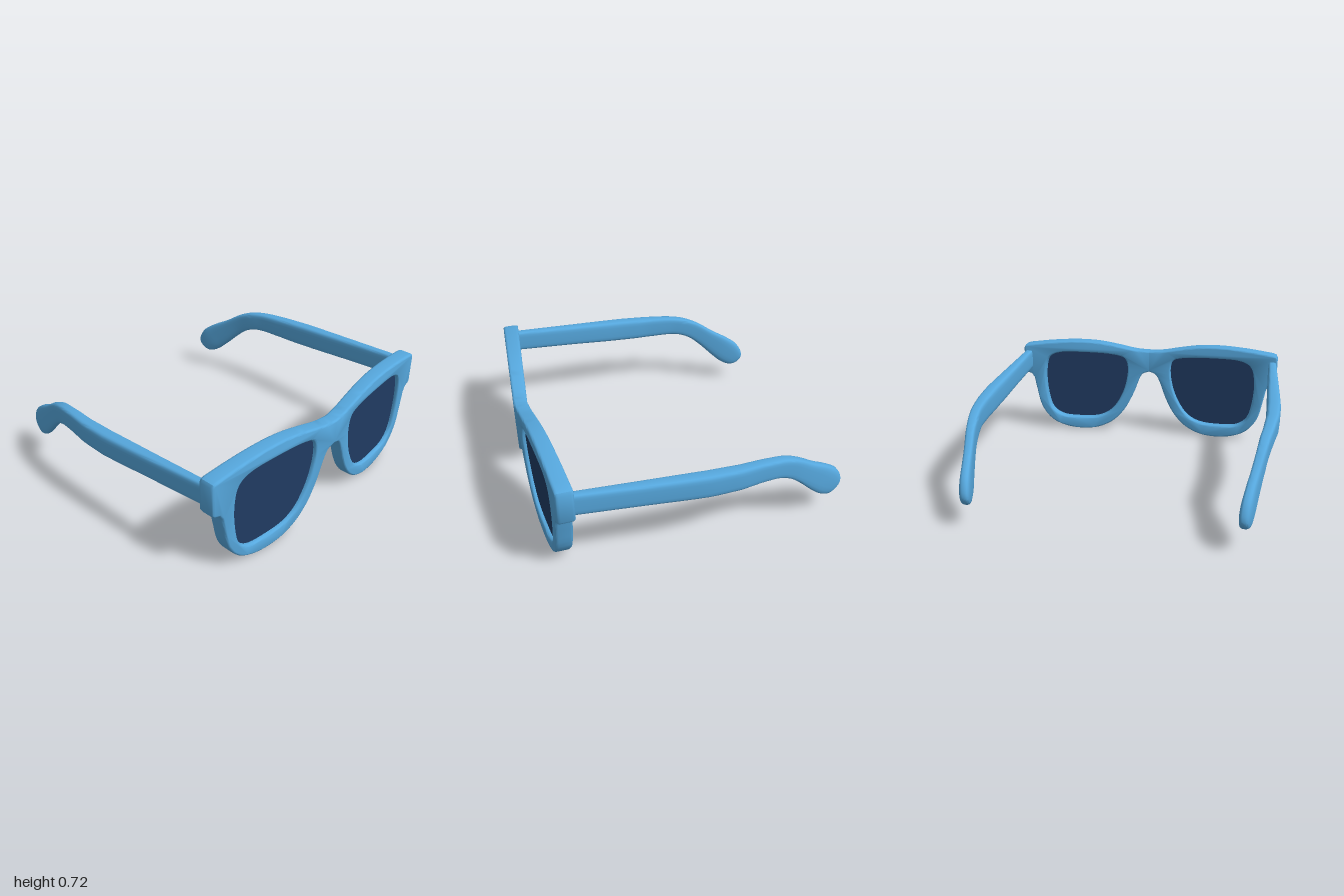
import * as THREE from 'three';
import { toCreasedNormals } from 'three/addons/utils/BufferGeometryUtils.js';

const frameBlue = new THREE.MeshStandardMaterial({ color: 0x56a8de });
frameBlue.name = 'frameBlue';
const lensNavy = new THREE.MeshStandardMaterial({ color: 0x203b62 });
lensNavy.name = 'lensNavy';

// smooth line through 2D points
function smooth(points, count, closed = false) {
  const curve = new THREE.CatmullRomCurve3(points.map(([x, y]) => new THREE.Vector3(x, y, 0)), closed, 'centripetal');
  const out = curve.getPoints(count).map(p => new THREE.Vector2(p.x, p.y));
  if (closed) out.pop();
  return out;
}

// piecewise linear lookup, keys descending
function lookup(table, z) {
  let i = 0;
  while (i < table.length - 2 && z < table[i + 1][0]) i++;
  const [z0, a] = table[i], [z1, b] = table[i + 1];
  return a + (b - a) * THREE.MathUtils.clamp((z - z0) / (z1 - z0), 0, 1);
}

// place depth 0..1 between the swept back and front faces, cutting each half off at the centre plane
function sweepBack(geometry) {
  const p = geometry.attributes.position;
  for (let i = 0; i < p.count; i++) {
    const x = Math.max(p.getX(i), 0);
    p.setXYZ(i, x, p.getY(i), THREE.MathUtils.lerp(0.862 - 0.095 * x, 0.95 - 0.078 * x, p.getZ(i)));
  }
  return geometry;
}

// mirrored copy with its face order put right
function mirror(geometry) {
  const g = geometry.clone().scale(-1, 1, 1);
  for (const a of Object.values(g.attributes)) {
    for (let i = 0; i < a.count; i += 3) {
      for (let k = 0; k < a.itemSize; k++) {
        const t = a.getComponent(i + 1, k);
        a.setComponent(i + 1, k, a.getComponent(i + 2, k));
        a.setComponent(i + 2, k, t);
      }
    }
  }
  return g;
}

// counter-clockwise, opposite to the rim outline
const lensOutline = smooth([
  [0.168, 0.53], [0.19, 0.59], [0.26, 0.615], [0.5, 0.632], [0.72, 0.622], [0.785, 0.58], [0.812, 0.47],
  [0.805, 0.3], [0.77, 0.17], [0.7, 0.112], [0.58, 0.095], [0.4, 0.105], [0.3, 0.16], [0.215, 0.29], [0.175, 0.42],
], 60, true).reverse();

function rimGeometry() {
  const top = smooth([[0, 0.65], [0.1, 0.657], [0.25, 0.688], [0.4, 0.713], [0.55, 0.72], [0.75, 0.71], [0.94, 0.688]], 24);
  const bottom = smooth([
    [0.905, 0.42], [0.888, 0.33], [0.85, 0.175], [0.77, 0.07], [0.66, 0.018], [0.53, 0.0], [0.4, 0.015],
    [0.28, 0.075], [0.19, 0.175], [0.13, 0.29], [0.08, 0.42], [0.05, 0.468], [0, 0.487],
  ], 44);
  const corner = [[0.965, 0.68], [0.975, 0.66], [0.975, 0.48], [0.965, 0.463], [0.925, 0.45]].map(c => new THREE.Vector2(...c));
  const shape = new THREE.Shape([
    new THREE.Vector2(-0.05, 0.65), ...top, ...corner, ...bottom, new THREE.Vector2(-0.05, 0.487),
  ]);
  shape.holes.push(new THREE.Path(lensOutline));
  const g = new THREE.ExtrudeGeometry(shape, {
    depth: 0.64, bevelThickness: 0.18, bevelSize: 0.012, bevelOffset: -0.012, bevelSegments: 3,
  });
  return toCreasedNormals(sweepBack(g.translate(0, 0, 0.18)), 0.7);
}

function lensGeometry() {
  const c = new THREE.Vector2(0.49, 0.365);
  const shape = new THREE.Shape(lensOutline.map(p => p.clone().sub(c).multiplyScalar(1.03).add(c)));
  const g = new THREE.ExtrudeGeometry(shape, { depth: 0.2, bevelEnabled: false });
  return toCreasedNormals(sweepBack(g.translate(0, 0, 0.54)), 0.7);
}

function templeGeometry() {
  // centre of the arm in x for each z
  const bow = [[0.8, 0.9375], [0.4, 0.947], [0, 0.955], [-0.2, 0.948], [-0.4, 0.925], [-0.6, 0.89], [-0.8, 0.845], [-0.95, 0.815]];
  // stations: top z, top y, bottom z, bottom y, half width
  const stations = [
    [0.81, 0.642, 0.81, 0.5, 0.028],
    [0.4, 0.62, 0.4, 0.475, 0.038],
    [0, 0.6, 0, 0.447, 0.045],
    [-0.2, 0.59, -0.2, 0.443, 0.042],
    [-0.38, 0.58, -0.37, 0.446, 0.037],
    [-0.5, 0.558, -0.46, 0.434, 0.035],
    [-0.6, 0.515, -0.54, 0.397, 0.032],
    [-0.72, 0.437, -0.62, 0.33, 0.031],
    [-0.83, 0.375, -0.72, 0.23, 0.033],
    [-0.91, 0.315, -0.795, 0.165, 0.036],
    [-0.948, 0.25, -0.86, 0.138, 0.033],
    [-0.953, 0.21, -0.905, 0.15, 0.024],
    [-0.94, 0.175, -0.94, 0.175, 0],
  ];
  const edge = pick => new THREE.CatmullRomCurve3(stations.map(s => new THREE.Vector3(...pick(s))), false, 'centripetal');
  const topEdge = edge(s => [s[4], s[1], s[0]]);
  const bottomEdge = edge(s => [s[4], s[3], s[2]]);
  const steps = 48, sides = 20, pos = [], index = [];
  for (let i = 0; i <= steps; i++) {
    const top = topEdge.getPoint(i / steps), bottom = bottomEdge.getPoint(i / steps);
    // boxy along the arm, rounder at the tip
    const power = 0.42 + 0.33 * THREE.MathUtils.smoothstep(i / steps, 0.4, 1);
    const round = t => Math.sign(t) * Math.pow(Math.abs(t), power);
    for (let j = 0; j < sides; j++) {
      const a = (j + 0.5) / sides * Math.PI * 2;
      const p = bottom.clone().lerp(top, (round(Math.sin(a)) + 1) / 2);
      pos.push(lookup(bow, p.z) + Math.max(p.x, 0) * round(Math.cos(a)), p.y, p.z);
      if (i === 0) continue;
      const k = (j + 1) % sides, u = (i - 1) * sides, v = i * sides;
      index.push(u + j, v + j, u + k, u + k, v + j, v + k);
    }
  }
  // front cap
  for (let j = 1; j < sides - 1; j++) index.push(0, j, j + 1);
  const g = new THREE.BufferGeometry();
  g.setAttribute('position', new THREE.Float32BufferAttribute(pos, 3));
  g.setIndex(index);
  return toCreasedNormals(g, 0.8);
}

export function createModel() {
  const model = new THREE.Group();
  model.name = 'sunglasses';
  const parts = [
    ['Rim', rimGeometry(), frameBlue],
    ['Lens', lensGeometry(), lensNavy],
    ['Temple', templeGeometry(), frameBlue],
  ];
  for (const [name, geometry, material] of parts) {
    for (const side of ['left', 'right']) {
      const mesh = new THREE.Mesh(side === 'left' ? geometry : mirror(geometry), material);
      mesh.name = side + name;
      model.add(mesh);
    }
  }
  return model;
}
